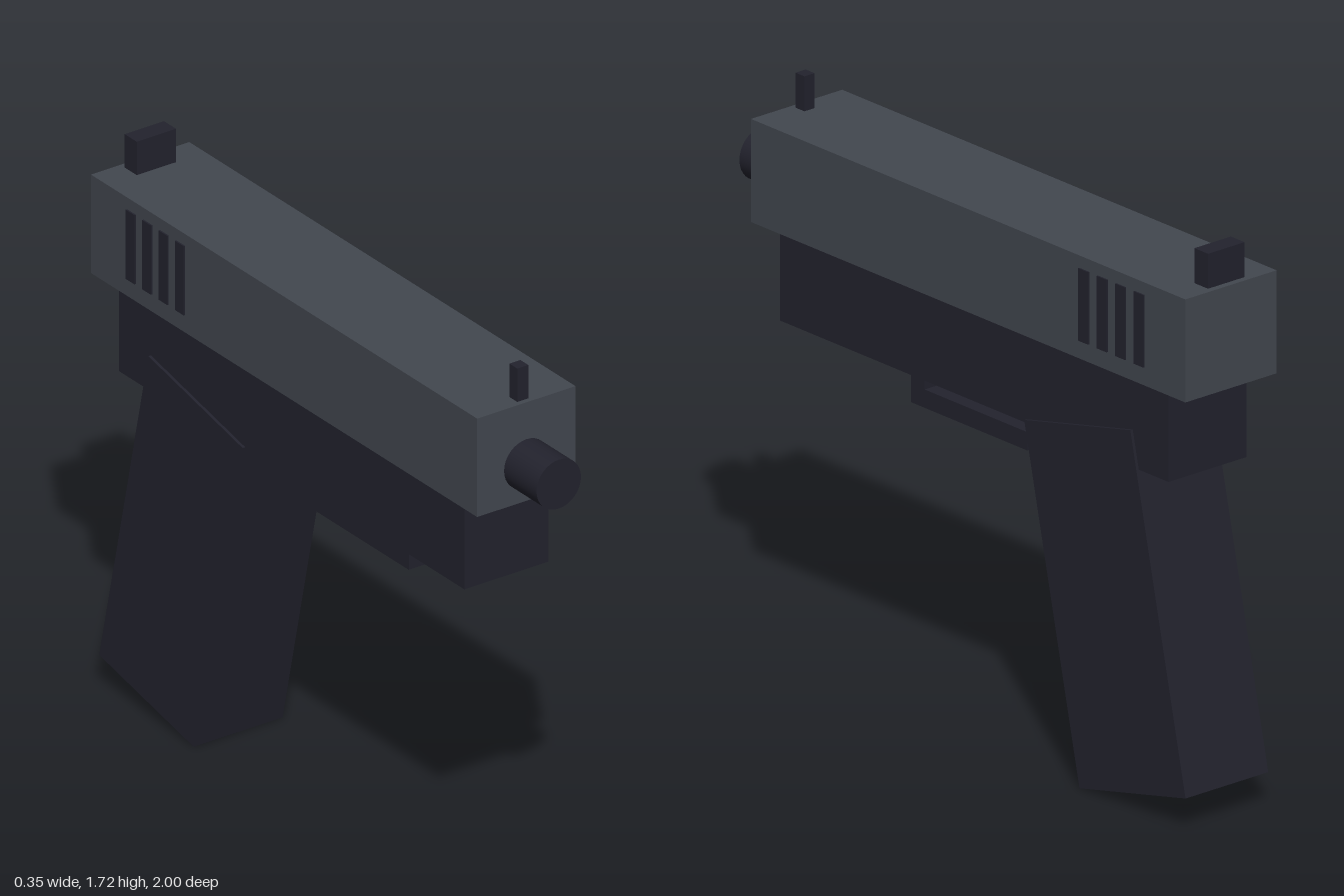
import * as THREE from 'three';

export function createModel() {
  const model = new THREE.Group();
  const steel = new THREE.MeshStandardMaterial({ color: 0x42474f });
  steel.name = 'slate steel';
  const polymer = new THREE.MeshStandardMaterial({ color: 0x22222d });
  polymer.name = 'dark polymer';

  // Box given by its half width and its y and z ranges
  function block(name, halfX, y0, y1, z0, z1, material = polymer, x = 0) {
    const mesh = new THREE.Mesh(new THREE.BoxGeometry(halfX * 2, y1 - y0, z1 - z0), material);
    mesh.position.set(x, (y0 + y1) / 2, (z0 + z1) / 2);
    mesh.name = name;
    model.add(mesh);
    return mesh;
  }

  // Upper body
  block('slide', 0.17, 1.305, 1.615, -1, 0.845, steel);
  block('frame', 0.145, 1.03, 1.305, -0.9, 0.75);

  // Grip, leaning back towards its foot
  const grip = block('grip', 0.154, 0.04, 1.105, -0.871, -0.409);
  grip.position.set(0, 0.573, -0.64);
  grip.rotation.x = 0.222;

  // Barrel stub
  const barrel = new THREE.Mesh(new THREE.CylinderGeometry(0.077, 0.077, 0.3, 32), polymer);
  barrel.rotation.x = Math.PI / 2;
  barrel.position.set(0, 1.422, 0.85);
  barrel.name = 'barrel';
  model.add(barrel);

  // Sights
  block('frontSight', 0.019, 1.6, 1.72, 0.79, 0.828);
  block('rearSight', 0.068, 1.6, 1.72, -0.98, -0.922);

  // Guard below the frame
  block('guardPost', 0.03, 0.935, 1.04, 0.267, 0.325);
  block('guardBar', 0.03, 0.88, 0.935, -0.17, 0.325);

  // Grooves on both sides of the slide
  for (const side of [-1, 1]) {
    for (let i = 0; i < 4; i++) {
      const z = -0.571 - i * 0.0785;
      block('slideGroove', 0.004, 1.36, 1.578, z - 0.021, z + 0.021, polymer, side * 0.171);
    }
  }
  return model;
}
